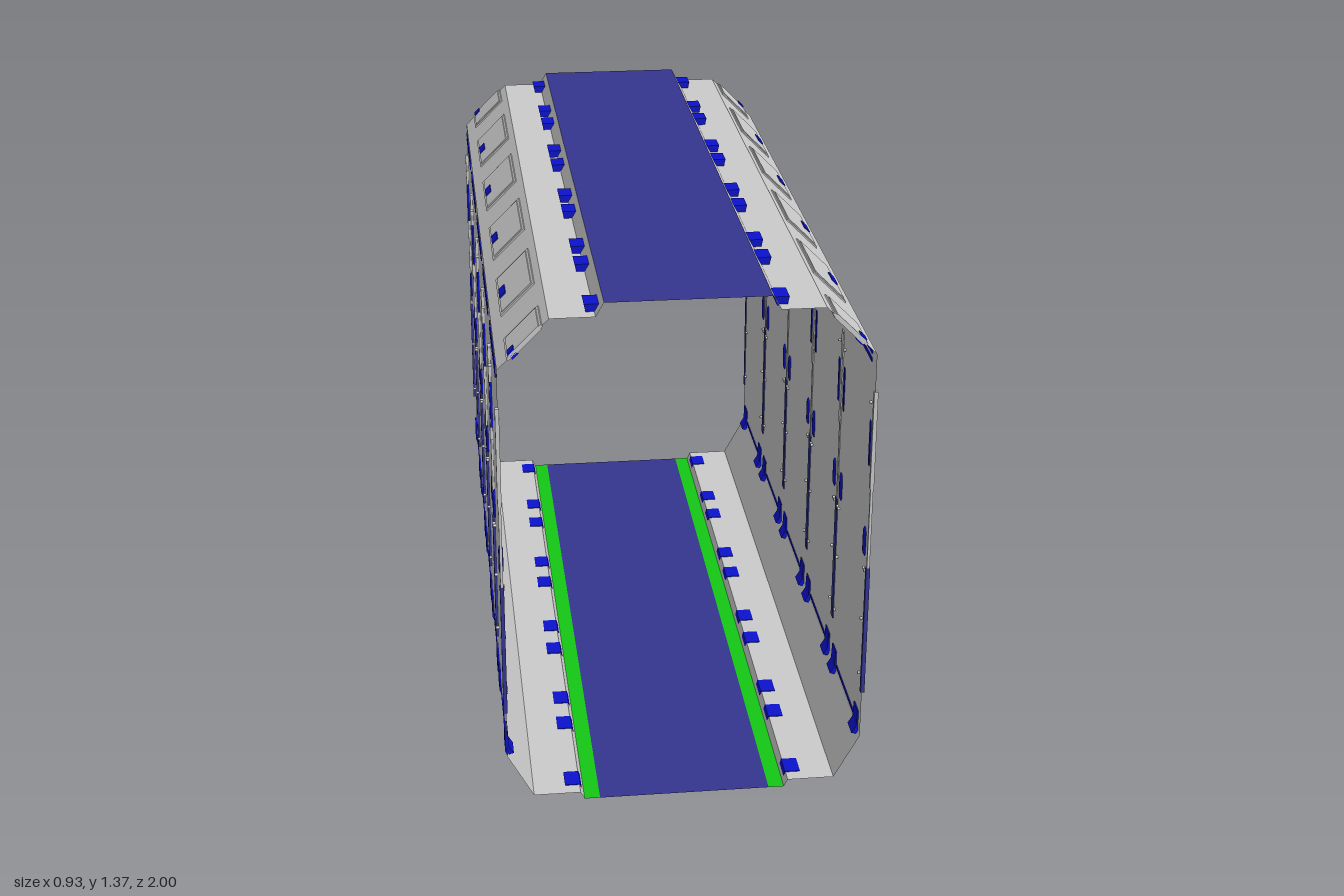
import * as THREE from 'three';

const mat = (color) => new THREE.MeshStandardMaterial({ color, side: THREE.DoubleSide });
const grey = mat(0xcccccc), darkBlue = mat(0x343690), blue = mat(0x0c12cc), green = mat(0x14c814);

const JOINTS = [-1, -0.6, -0.2, 0.2, 0.6, 1];
const PANELS = [-0.8, -0.4, 0, 0.4, 0.8];

function add(parent, name, geometry, material) {
  const mesh = new THREE.Mesh(geometry, material);
  mesh.name = name;
  parent.add(mesh);
  return mesh;
}

// Thin sheet swept along the full length, one flat facet per profile segment
function sheet(parent, name, profile, material) {
  const pos = [];
  for (let i = 0; i < profile.length - 1; i++) {
    const [ax, ay] = profile[i], [bx, by] = profile[i + 1];
    pos.push(ax, ay, 1, ax, ay, -1, bx, by, -1, ax, ay, 1, bx, by, -1, bx, by, 1);
  }
  const g = new THREE.BufferGeometry();
  g.setAttribute('position', new THREE.Float32BufferAttribute(pos, 3));
  g.computeVertexNormals();
  return add(parent, name, g, material);
}

// Box centred at x, from y0 to y1, clipped to the ends of the corridor
function bar(parent, name, x, thick, y0, y1, z, width, material) {
  const z0 = Math.max(-1, z - width / 2), z1 = Math.min(1, z + width / 2);
  const g = new THREE.BoxGeometry(thick, y1 - y0, z1 - z0);
  return add(parent, name, g.translate(x, (y0 + y1) / 2, (z0 + z1) / 2), material);
}

// Profile in x, y extruded along z around a centre
function clamp(parent, name, profile, z, length) {
  const shape = new THREE.Shape(profile.map(([x, y]) => new THREE.Vector2(x, y)));
  const g = new THREE.ExtrudeGeometry(shape, { depth: length, bevelEnabled: false });
  return add(parent, name, g.translate(0, 0, z - length / 2), blue);
}

function buildSide() {
  const side = new THREE.Group();

  // Shell sheets
  sheet(side, 'floorEdge', [[0.26, 0], [0.27, 0.02], [0.39, 0.02]], grey);
  sheet(side, 'lowerSlope', [[0.39, 0.02], [0.455, 0.14]], grey);
  sheet(side, 'wall', [[0.455, 0.14], [0.455, 1.21]], grey);
  sheet(side, 'upperSlope', [[0.455, 1.21], [0.33, 1.335]], grey);
  sheet(side, 'roofEdge', [[0.33, 1.335], [0.22, 1.335], [0.2, 1.37]], grey);
  sheet(side, 'floorStripe', [[0.22, 0], [0.26, 0]], green);

  // Post, handles and rivets at every wall joint
  const X = 0.457;
  for (const z of JOINTS) {
    bar(side, 'upperPost', X, 0.01, 0.85, 1.11, z, 0.022, grey);
    bar(side, 'middlePost', X, 0.007, 0.63, 0.85, z, 0.015, grey);
    bar(side, 'lowerPost', X, 0.01, 0.27, 0.63, z, 0.024, darkBlue);
    for (const s of [-1, 1]) {
      if (Math.abs(z + s * 0.03) > 1) continue;
      bar(side, 'lightBar', X, 0.008, 0.9, 1.02, z + s * 0.035, 0.013, blue);
      const pill = new THREE.CapsuleGeometry(0.015, 0.05, 4, 12).scale(0.4, 1, 1);
      add(side, 'ovalPad', pill, blue).position.set(X - 0.001, 0.685, z + s * 0.045);
      for (const [y, dz] of [[1.07, 0.035], [0.615, 0.02], [0.615, 0.035], [0.47, 0.035], [0.31, 0.035]]) {
        const rivet = new THREE.CylinderGeometry(0.004, 0.004, 0.014, 8).rotateZ(Math.PI / 2);
        add(side, 'rivet', rivet, grey).position.set(X - 0.001, y, z + s * dz);
      }
    }

    // Raised cover with a tab on the upper slope
    const cover = new THREE.Group();
    cover.name = 'slopeCover';
    cover.position.set(0.3875, 1.2775, 0);
    cover.rotation.z = Math.PI / 4;
    side.add(cover);
    bar(cover, 'coverRim', 0, 0.007, -0.059, 0.059, z, 0.25, grey);
    bar(cover, 'coverPlate', 0, 0.012, -0.052, 0.052, z, 0.23, grey);
    bar(cover, 'coverTab', 0, 0.018, -0.05, -0.03, z, 0.056, blue);
  }

  // Trim lines and clamps on every wall panel
  for (const z of PANELS) {
    for (const y of [1.175, 1.195]) bar(side, 'upperTrim', 0.455, 0.005, y - 0.004, y + 0.004, z, 0.3, blue);
    bar(side, 'lowerTrim', 0.455, 0.005, 0.157, 0.165, z, 0.23, blue);
    for (const s of [-1, 1]) {
      clamp(side, 'wallClamp',
        [[0.46, 0.2], [0.452, 0.2], [0.45, 0.155], [0.438, 0.135], [0.456, 0.13], [0.46, 0.14]], z + s * 0.15, 0.05);
      clamp(side, 'floorClamp',
        [[0.262, 0], [0.295, 0], [0.308, 0.022], [0.268, 0.022]], z + s * 0.135, 0.06);
      clamp(side, 'roofClamp',
        [[0.215, 1.332], [0.24, 1.332], [0.245, 1.354], [0.207, 1.354]], z + s * 0.135, 0.06);
    }
  }
  return side;
}

export function createModel() {
  const model = new THREE.Group();
  model.name = 'corridor';

  const left = buildSide();
  left.name = 'leftSide';
  const right = buildSide();
  right.name = 'rightSide';
  right.scale.x = -1;
  model.add(left, right);

  // Central floor and roof
  sheet(model, 'floor', [[-0.22, 0], [0.22, 0]], darkBlue);
  sheet(model, 'roof', [[0.2, 1.37], [-0.2, 1.37]], darkBlue);
  return model;
}
